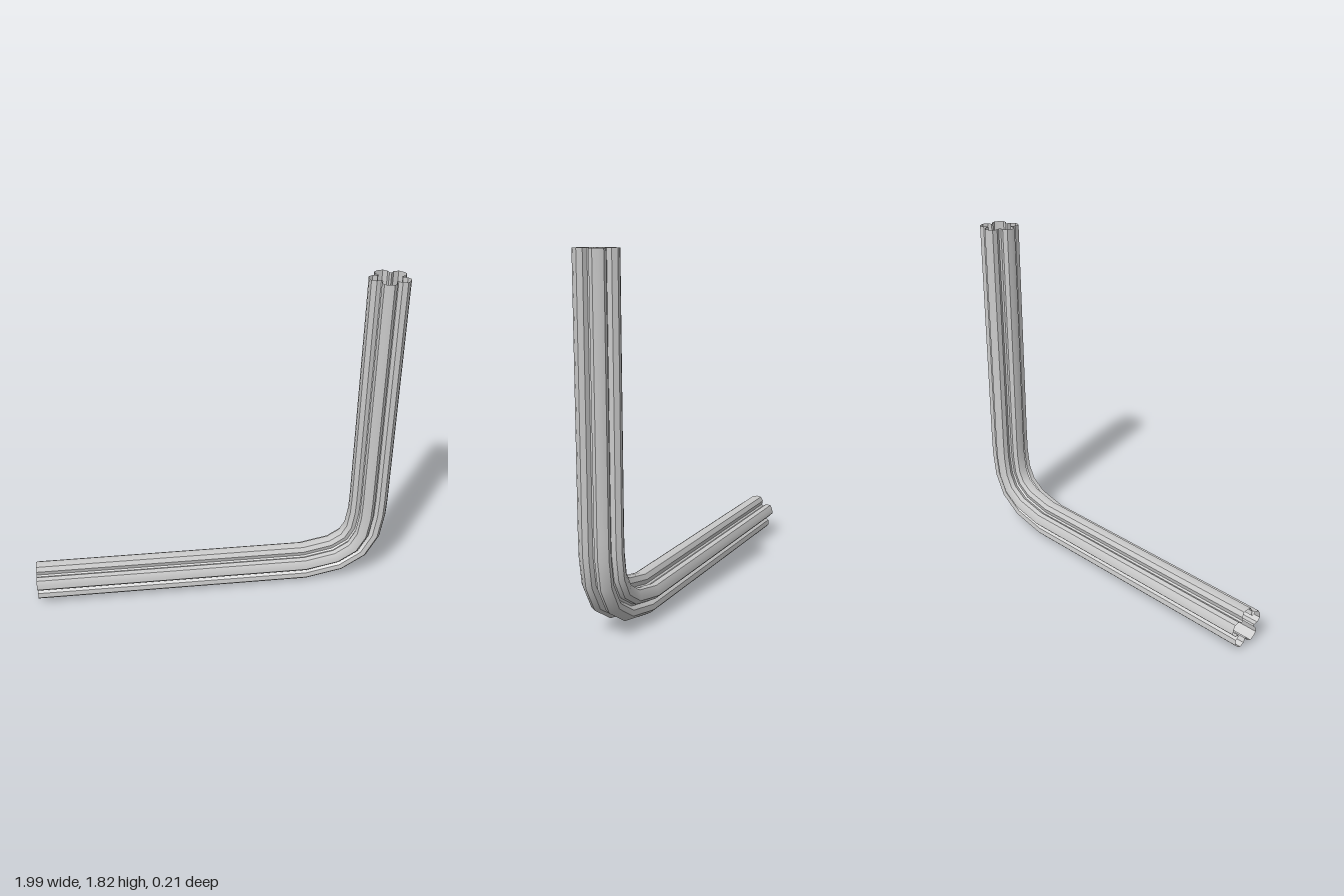
import * as THREE from 'three';
import { toCreasedNormals } from 'three/addons/utils/BufferGeometryUtils.js';

// One lobe of the fluted section: [degrees from lobe centre, radius]
const LOBE = [[-31, 0.065], [-26, 0.088], [-14, 0.107], [0, 0.108], [14, 0.107], [26, 0.088], [31, 0.065]];

// Five lobes around the axis; u points to the outside of the bend, v along z
function section() {
  const points = [];
  for (let k = 0; k < 5; k++) {
    for (const [deg, r] of LOBE) {
      const a = THREE.MathUtils.degToRad(36 + k * 72 + deg);
      points.push([r * Math.cos(a), r * Math.sin(a)]);
    }
  }
  return points;
}

// Centre line: long arm, bend, upright arm
const PATH = [[-1, 0.125], [0.53, 0.106], [0.715, 0.143], [0.82, 0.21], [0.872, 0.305], [0.89, 0.425], [0.893, 0.53], [0.893, 1.83]]
  .map(([x, y]) => new THREE.Vector2(x, y));

// Sweep the section along the centre line with mitred joints
function sweep(path, profile) {
  const n = profile.length, position = [], index = [];
  path.forEach((p, i) => {
    const before = p.clone().sub(path[Math.max(i - 1, 0)]).normalize();
    const after = path[Math.min(i + 1, path.length - 1)].clone().sub(p).normalize();
    const t = before.clone().add(after).normalize();
    if (i === 0) t.set(1, 0);
    const stretch = 1 / Math.max(t.dot(after), t.dot(before));
    for (const [u, v] of profile) position.push(p.x + t.y * u * stretch, p.y - t.x * u * stretch, v);
    if (i === path.length - 1) return;
    for (let j = 0; j < n; j++) {
      const a = i * n + j, b = i * n + (j + 1) % n;
      index.push(a, a + n, b, b, a + n, b + n);
    }
  });
  const geometry = new THREE.BufferGeometry();
  geometry.setAttribute('position', new THREE.Float32BufferAttribute(position, 3));
  geometry.setIndex(index);
  return toCreasedNormals(geometry, 0.6);
}

export function createModel() {
  const group = new THREE.Group();
  group.name = 'flutedKey';
  // Hollow bent bar, open at both ends
  const material = new THREE.MeshStandardMaterial({ color: 0xcccccc, side: THREE.DoubleSide });
  const bar = new THREE.Mesh(sweep(PATH, section()), material);
  bar.name = 'bentBar';
  group.add(bar);
  return group;
}
